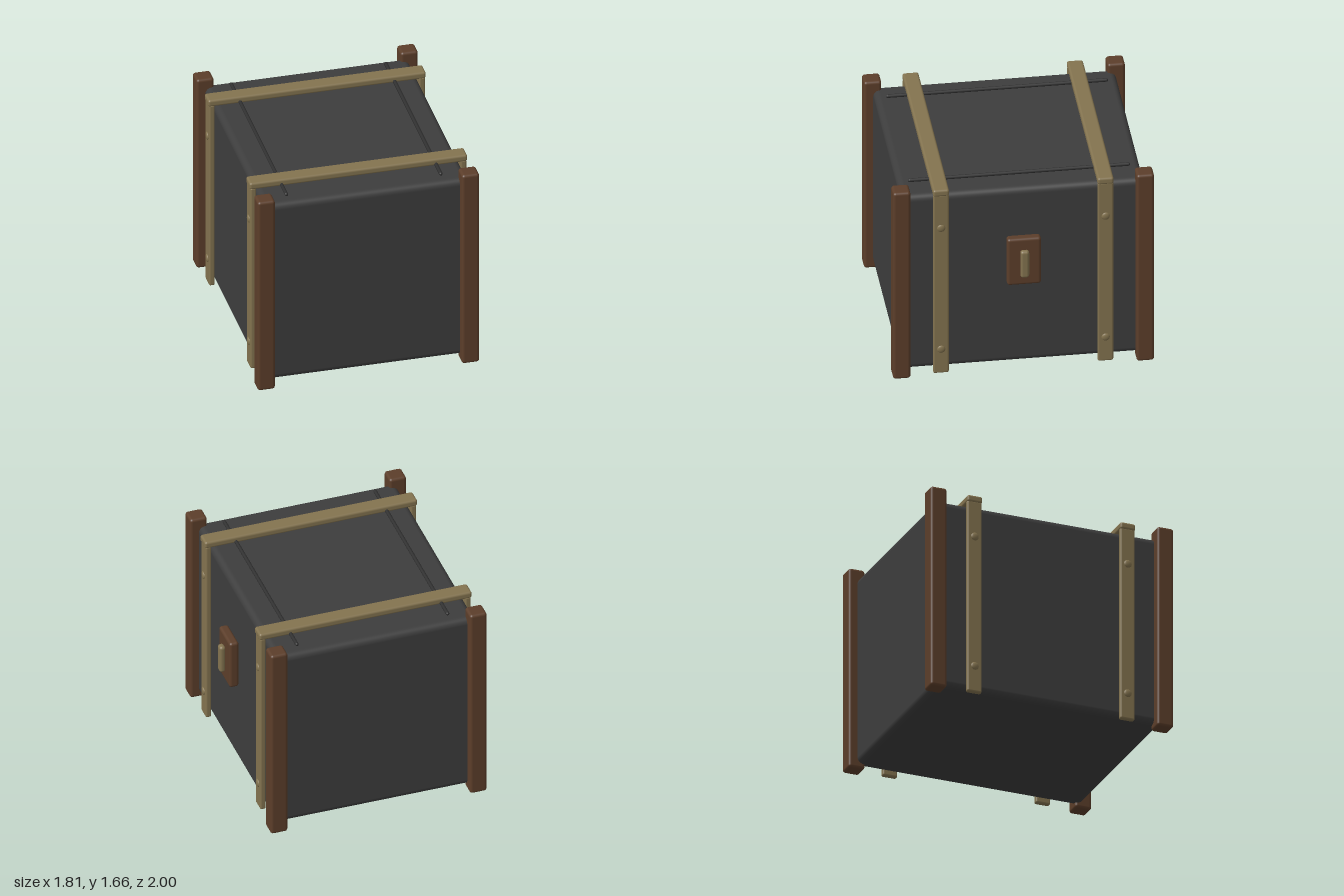
import * as THREE from 'three';
import { RoundedBoxGeometry } from 'three/addons/geometries/RoundedBoxGeometry.js';

export function createModel() {
  const model = new THREE.Group();
  model.name = 'trunk';

  const material = (name, color) => {
    const m = new THREE.MeshStandardMaterial({ color });
    m.name = name;
    return m;
  };
  const charcoal = material('charcoal', 0x3d3d3d);
  const darkRod = material('darkRod', 0x303030);
  const brownWood = material('brownWood', 0x5c3e2a);
  const tanWood = material('tanWood', 0x83734f);

  const add = (name, geometry, mat, x, y, z) => {
    const mesh = new THREE.Mesh(geometry, mat);
    mesh.name = name;
    mesh.position.set(x, y, z);
    model.add(mesh);
    return mesh;
  };
  // rounded box given by its minimum and maximum corners
  const block = (name, mat, [x0, y0, z0], [x1, y1, z1], radius) =>
    add(name, new RoundedBoxGeometry(x1 - x0, y1 - y0, z1 - z0, 4, radius), mat,
      (x0 + x1) / 2, (y0 + y1) / 2, (z0 + z1) / 2);

  const cx = -0.038; // middle of the case, the handle sticks out on one side

  // soft-edged case
  block('body', charcoal, [cx - 0.8, 0.04, -0.93], [cx + 0.8, 1.588, 0.93], 0.05);

  for (const sx of [-1, 1]) {
    const side = sx > 0 ? 'left' : 'right';

    // thin rod along the top
    const rod = add(side + 'TopRod', new THREE.CapsuleGeometry(0.014, 1.675, 4, 12), darkRod,
      cx + sx * 0.605, 1.612, 0);
    rod.rotation.x = Math.PI / 2;

    for (const sz of [-1, 1]) {
      const end = sz > 0 ? 'Front' : 'Back';
      const x = cx + sx * 0.8;
      const z = sz * 0.933;

      // corner post
      block(side + end + 'Post', brownWood,
        [x - 0.068, 0, z - 0.067], [x + 0.068, 1.665, z + 0.067], 0.022);

      // upright slat with two rivets
      const slatX = cx + sx * 0.823;
      const slatZ = sz * 0.63;
      block(side + end + 'Slat', tanWood,
        [slatX - 0.023, 0.015, slatZ - 0.06], [slatX + 0.023, 1.61, slatZ + 0.06], 0.014);
      for (const y of [0.23, 1.313]) {
        const rivet = add(side + end + 'Rivet', new THREE.SphereGeometry(0.032, 20, 12), tanWood,
          cx + sx * 0.845, y, slatZ);
        rivet.scale.x = 0.45;
      }
    }
  }

  // slats across the top
  for (const sz of [-1, 1]) {
    block(sz > 0 ? 'frontTopSlat' : 'backTopSlat', tanWood,
      [cx - 0.853, 1.598, sz * 0.63 - 0.062], [cx + 0.853, 1.655, sz * 0.63 + 0.062], 0.018);
  }

  // handle plate and grip on one side
  block('handlePlate', brownWood, [0.785, 0.783, -0.13], [0.86, 1.195, 0.13], 0.022);
  block('handleGrip', tanWood, [0.856, 0.868, -0.034], [0.905, 1.105, 0.034], 0.022);

  return model;
}
